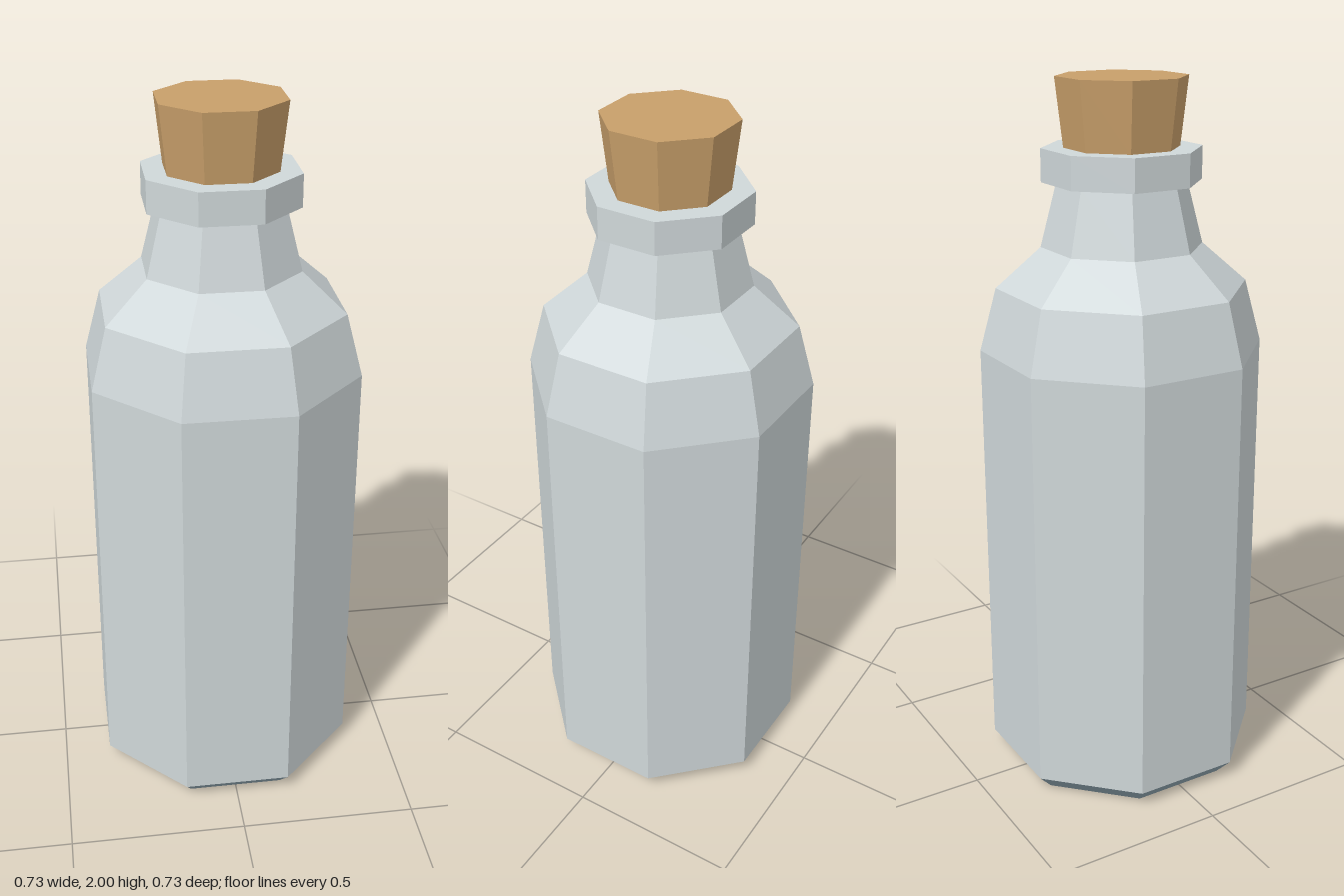
import * as THREE from 'three';

const SIDES = 8;

function material(name, color) {
  const m = new THREE.MeshStandardMaterial({ color, flatShading: true });
  m.name = name;
  return m;
}

// Octagonal turned part; profile points are [distance to flat side, height], bottom to top
function turned(name, profile, mat) {
  const k = 1 / Math.cos(Math.PI / SIDES);
  const points = profile.map(([r, y]) => new THREE.Vector2(r * k, y));
  const geometry = new THREE.LatheGeometry(points, SIDES, Math.PI / SIDES);
  const mesh = new THREE.Mesh(geometry, mat);
  mesh.name = name;
  return mesh;
}

export function createModel() {
  const glass = material('pale glass', 0xcfd7d9);
  const darkGlass = material('blue grey base', 0x90a6b1);
  const corkWood = material('cork', 0xc89f6a);

  const bottle = new THREE.Group();
  bottle.name = 'bottle';
  bottle.add(
    // Bevelled foot with closed underside
    turned('base', [[0, 0], [0.325, 0], [0.367, 0.048]], darkGlass),
    // Straight wall, two-step shoulder and tapering neck
    turned('body', [[0.367, 0.048], [0.367, 1.265], [0.323, 1.44], [0.207, 1.55], [0.165, 1.725]], glass),
    // Collar around the mouth
    turned('lip', [[0, 1.725], [0.203, 1.725], [0.203, 1.815], [0, 1.815]], glass),
    // Stopper widening upwards
    turned('stopper', [[0.146, 1.812], [0.166, 2], [0, 2]], corkWood),
  );
  return bottle;
}
